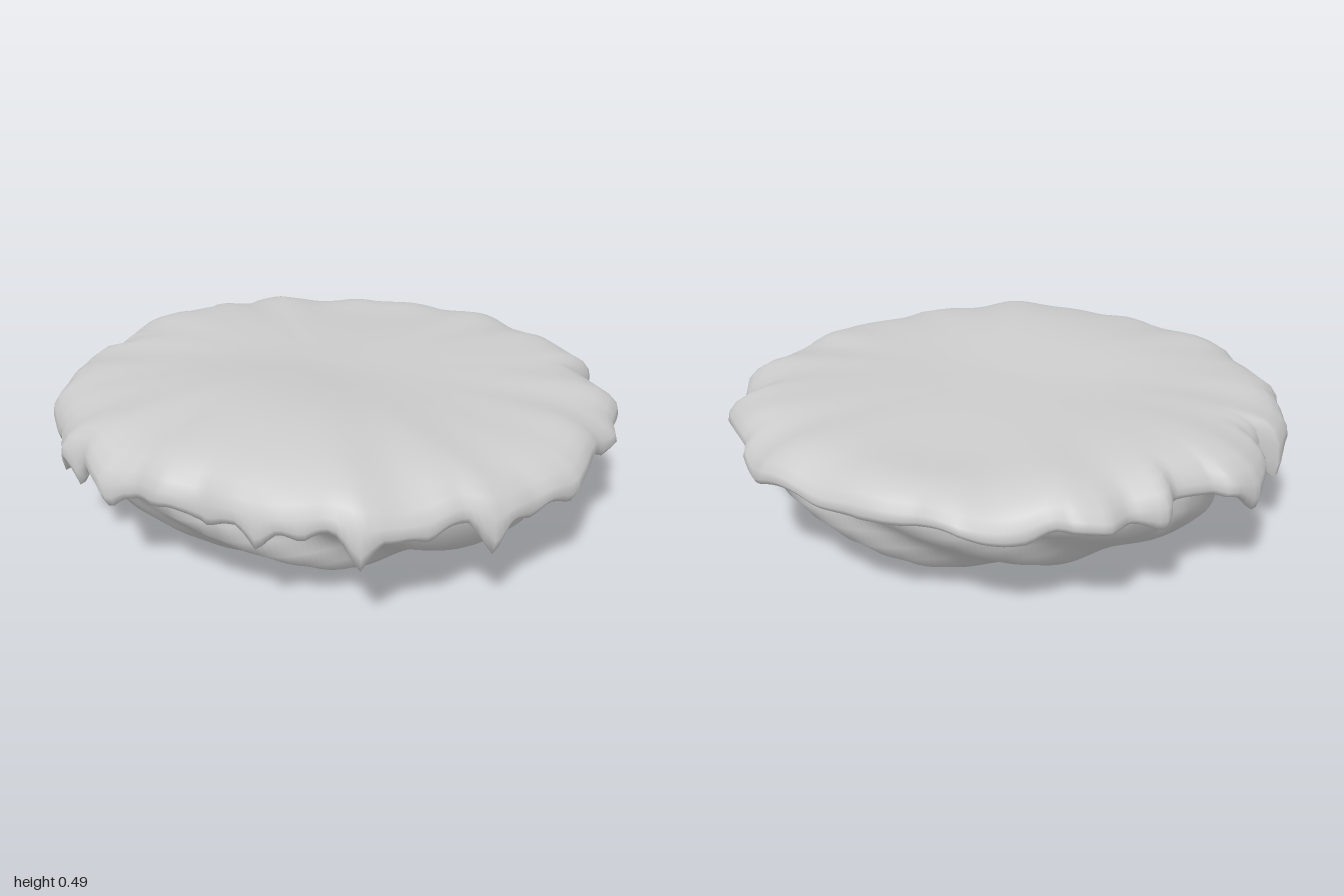
import * as THREE from 'three';

const COLS = 288;
const TAU = Math.PI * 2;
const { sin, cos, min, max, exp, abs } = Math;

// Scalloped rim of the top crust, as [x, z] corners
const RIM = [
  [0.98, 0.03], [1, 0.2], [0.93, 0.37], [0.88, 0.53], [0.8, 0.57], [0.7, 0.72], [0.61, 0.83], [0.48, 0.86],
  [0.31, 0.91], [0.12, 0.91], [0, 0.95], [-0.1, 0.93], [-0.23, 0.95], [-0.37, 0.87], [-0.47, 0.86], [-0.6, 0.73],
  [-0.77, 0.6], [-0.8, 0.5], [-0.9, 0.37], [-0.94, 0.21], [-0.88, 0.18], [-0.88, 0.1], [-0.95, 0.06], [-1, -0.11],
  [-0.96, -0.23], [-0.91, -0.24], [-0.83, -0.36], [-0.87, -0.44], [-0.78, -0.53], [-0.78, -0.63], [-0.71, -0.7],
  [-0.64, -0.71], [-0.44, -0.88], [-0.3, -0.9], [-0.2, -0.94], [-0.07, -0.96], [0.1, -0.96], [0.28, -0.95],
  [0.45, -0.86], [0.48, -0.82], [0.65, -0.73], [0.74, -0.67], [0.73, -0.55], [0.86, -0.48], [0.93, -0.4],
  [0.95, -0.28], [0.99, -0.2], [0.97, -0.07],
].map(([x, z]) => ({ a: (Math.atan2(z, x) + TAU) % TAU, r: Math.hypot(x, z) }))
  .sort((p, q) => p.a - q.a);

function rimRadius(a) {
  const n = RIM.length;
  let k = RIM.findIndex(p => p.a > a);
  if (k < 0) k = n;
  const p = RIM[(k + n - 1) % n], q = RIM[k % n];
  const span = (q.a - p.a + TAU) % TAU;
  const t = span > 1e-6 ? ((a - p.a + TAU) % TAU) / span : 0;
  return p.r + (q.r - p.r) * t;
}

// Pointed drips on the hem: [angle in degrees, depth, half width in degrees]
const DRIPS = [
  [13, 0.04, 5], [22, 0.02, 4], [31, 0.1, 4], [42, 0.03, 4], [54, 0.1, 4], [63, 0.03, 4], [71, 0.07, 4],
  [81, 0.02, 4], [92, 0.02, 4], [102, 0.04, 3], [115, 0.08, 4], [124, 0.07, 4], [134, 0.03, 4], [143, 0.03, 4],
  [155, 0.03, 4], [167, 0.13, 4], [187, 0.07, 5], [208, 0.04, 5], [232, 0.02, 6], [262, 0.015, 7],
  [290, 0.015, 6], [322, 0.075, 8], [340, 0.03, 5], [354, 0.02, 5],
];

function hemDrop(a) {
  const deg = a * 360 / TAU;
  // the hem hangs a little lower at the front than at the back
  let d = 0.008 + 0.01 * sin(a) + 0.004 * sin(23 * a) + 0.004 * sin(14 * a + 1);
  for (const [at, depth, half] of DRIPS) {
    const off = abs((deg - at + 540) % 360 - 180);
    d += depth * max(0, 1 - off / half) ** 1.3;
  }
  return d;
}

const mound = (x, z, cx, cz, w) => exp(-((x - cx) ** 2 + (z - cz) ** 2) / (w * w));

// Uneven upper surface with wrinkles gathering toward the rim
function topHeight(x, z, a, t) {
  const folds = 0.45 * sin(13 * a + 0.6) + 0.35 * sin(19 * a + 2) + 0.3 * sin(7 * a + 1);
  return 0.44 + 0.052 * mound(x, z, 0.25, 0.48, 0.38) + 0.03 * mound(x, z, -0.22, 0.4, 0.3)
    + 0.028 * mound(x, z, -0.68, -0.1, 0.3) + 0.012 * mound(x, z, 0.3, -0.4, 0.4)
    - 0.02 * mound(x, z, -0.85, 0.15, 0.16) - 0.02 * mound(x, z, -0.2, -0.65, 0.2)
    + 0.022 * folds * t ** 5;
}

// Skin closed rings; point(row, angle) returns [x, y, z]
function ringSurface(rows, point) {
  const pos = [], index = [];
  for (let i = 0; i < rows; i++) {
    for (let j = 0; j < COLS; j++) {
      pos.push(...point(i, j / COLS * TAU));
      if (i === rows - 1) continue;
      const k = (j + 1) % COLS, b = i * COLS, c = b + COLS;
      index.push(b + j, b + k, c + j, b + k, c + k, c + j);
    }
  }
  const geo = new THREE.BufferGeometry();
  geo.setAttribute('position', new THREE.Float32BufferAttribute(pos, 3));
  geo.setIndex(index);
  geo.computeVertexNormals();
  return geo;
}

// Crust: [radius factor, drop below the top, share of the hem drop]
const CRUST = [
  [0.001, 0, 0], [0.15, 0, 0], [0.3, 0, 0], [0.45, 0, 0], [0.58, 0, 0], [0.68, 0, 0], [0.76, 0.001, 0],
  [0.83, 0.004, 0], [0.89, 0.012, 0], [0.94, 0.03, 0], [0.975, 0.056, 0.05], [0.995, 0.083, 0.3],
  [1, 0.105, 0.7], [0.992, 0.12, 1], [0.975, 0.119, 0.95], [0.965, 0.104, 0.55], [0.94, 0.088, 0.2], [0.87, 0.066, 0],
];

function crustPoint(i, a) {
  const [f, drop, share] = CRUST[i];
  // scallops fade out toward the middle
  const r = f * (0.94 + (rimRadius(a) - 0.94) * f ** 6);
  const x = r * cos(a), z = r * sin(a);
  return [x, topHeight(x, z, a, f) - drop - share * hemDrop(a), z];
}

// Bowl: [radius, y, flute strength]
const BOWL = [
  [0.87, 0.375, 0.3], [0.9, 0.345, 0.5], [0.9, 0.31, 0.7], [0.885, 0.265, 0.9], [0.862, 0.22, 1], [0.83, 0.17, 1],
  [0.79, 0.125, 1], [0.74, 0.085, 0.95], [0.68, 0.052, 0.75], [0.6, 0.028, 0.45], [0.5, 0.014, 0.15],
  [0.38, 0.007, 0], [0.2, 0.002, 0], [0.001, 0, 0],
];

function bowlPoint(i, a) {
  const [r, y, k] = BOWL[i];
  const s = a - 2.6 * max(y, 0.06); // flutes lean with height
  const wave = 0.5 * sin(9 * s + 0.5) + 0.4 * sin(6 * s + 2) + 0.3 * sin(13 * s + 4);
  const radius = min(r + k * (0.03 * wave + 0.008 * sin(3 * a + 1)), rimRadius(a) * 0.955);
  const lift = 0.012 * k * (1 - y / 0.375) * (1 - wave);
  const shift = 0.03 * (1 - y / 0.375); // the base sits slightly to one side
  return [radius * cos(a) + shift, y + lift, radius * sin(a)];
}

export function createModel() {
  const group = new THREE.Group();
  const material = new THREE.MeshStandardMaterial({ color: 0xcccccc, side: THREE.DoubleSide });
  const add = (name, geo) => {
    const mesh = new THREE.Mesh(geo, material);
    mesh.name = name;
    group.add(mesh);
  };
  add('topCrust', ringSurface(CRUST.length, crustPoint));
  add('flutedBowl', ringSurface(BOWL.length, bowlPoint));
  return group;
}
